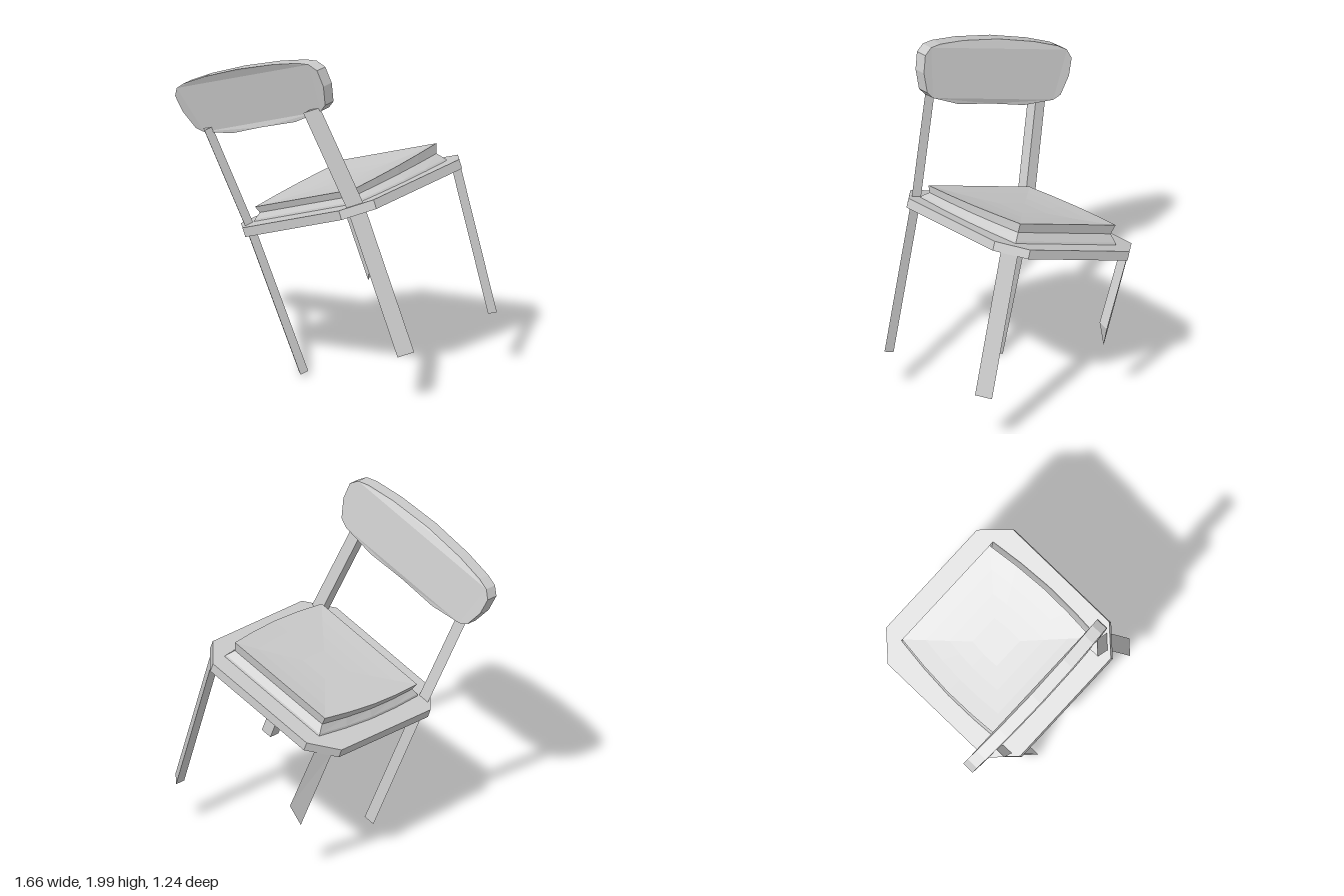
import * as THREE from 'three';

const material = new THREE.MeshStandardMaterial({ color: 0xcccccc, flatShading: true, side: THREE.DoubleSide });

// Solid through a stack of rings, bottom to top, each counterclockwise seen from above
function loft(rings) {
  const pos = [];
  const tri = (a, b, c) => pos.push(...a, ...b, ...c);
  const n = rings[0].length;
  for (let r = 0; r + 1 < rings.length; r++) {
    for (let i = 0; i < n; i++) {
      const j = (i + 1) % n, lo = rings[r], hi = rings[r + 1];
      tri(lo[i], lo[j], hi[j]);
      tri(lo[i], hi[j], hi[i]);
    }
  }
  const first = rings[0], last = rings[rings.length - 1];
  for (let i = 1; i + 1 < n; i++) tri(first[0], first[i + 1], first[i]);
  const mid = [0, 1, 2].map(k => last.reduce((s, p) => s + p[k], 0) / n);
  for (let i = 0; i < n; i++) tri(last[i], last[(i + 1) % n], mid);
  const geo = new THREE.BufferGeometry();
  geo.setAttribute('position', new THREE.Float32BufferAttribute(pos, 3));
  geo.computeVertexNormals();
  return geo;
}

function part(name, geo) {
  const mesh = new THREE.Mesh(geo, material);
  mesh.name = name;
  return mesh;
}

// Triangular leg section: wide face outward on the seat's cut corner.
// drop gives extra y for the inner, z-side and x-side corners.
function legRing([x, y, z], sx, sz, drop = [0, 0, 0]) {
  const h = 0.035;
  const ring = [
    [sx * (x - h), y + drop[0], sz * (z - h)],
    [sx * (x - h), y + drop[1], sz * (z + h)],
    [sx * (x + h), y + drop[2], sz * (z - h)],
  ];
  return sx * sz < 0 ? ring.reverse() : ring;
}

// Square seat board with cut corners
function seatGeometry() {
  const a = 0.523, b = 0.535, ca = 0.38, cb = 0.385;
  const outline = [[a, cb], [a, -cb], [ca, -b], [-ca, -b], [-a, -cb], [-a, cb], [-ca, b], [ca, b]];
  return loft([-0.055, 0].map(y => outline.map(([x, z]) => [x, y, z])));
}

// Pad with a pinched side, higher at one end and dished on top
function cushionGeometry() {
  const corners = [[0.395, 0.385], [0.375, -0.4], [-0.355, -0.4], [-0.38, 0.385]];
  const outline = [], steps = 4;
  corners.forEach(([x, z], k) => {
    const [x2, z2] = corners[(k + 1) % 4];
    for (let i = 0; i < steps; i++) {
      const t = i / steps;
      const bow = k % 2 ? 0 : 0.025 * Math.sin(Math.PI * t) * Math.sign(x);
      outline.push([x + (x2 - x) * t + bow, z + (z2 - z) * t]);
    }
  });
  const edge = z => 0.095 - 0.042 * z;
  const ring = (s, height) => outline.map(([x, z]) => [x * s, height(z * s), z * s]);
  return loft([
    ring(1.06, () => -0.01),
    ring(1.04, () => 0.012),
    ring(0.97, z => edge(z) * 0.5),
    ring(1, edge),
    ...[0.75, 0.5, 0.25].map(s => ring(s, z => edge(z) - 0.022 * (1 - s * s))),
  ]);
}

// Rounded, slightly curved and reclined panel
function backrestGeometry() {
  const half = [[0.27, 0.905], [0.45, 0.885], [0.52, 0.865], [0.56, 0.82], [0.555, 0.72],
    [0.51, 0.61], [0.46, 0.58], [0.25, 0.545]];
  const points = [[0, 0.915], ...half, [0, 0.55], ...half.map(([x, y]) => [-x, y]).reverse()];
  const shape = new THREE.Shape(points.map(([x, y]) => new THREE.Vector2(x, y)));
  const geo = new THREE.ExtrudeGeometry(shape, { depth: 0.075, bevelEnabled: false });
  const p = geo.attributes.position;
  for (let i = 0; i < p.count; i++) {
    const x = p.getX(i), y = p.getY(i);
    p.setZ(i, p.getZ(i) + 0.51 + 0.17 * (y - 0.9) - 0.06 * x * x);
  }
  geo.computeVertexNormals();
  return geo;
}

export function createModel() {
  const chair = new THREE.Group();
  chair.name = 'chair';
  chair.add(part('seat', seatGeometry()), part('cushion', cushionGeometry()), part('backrest', backrestGeometry()));

  // Posts run from the floor end through the seat up to the backrest
  for (const [side, sx] of [['left', 1], ['right', -1]]) {
    const path = [[0.418, -0.91, 0.4], [0.435, -0.02, 0.45], [0.425, 0.6, 0.55]];
    chair.add(part(side + 'BackPost', loft(path.map(c => legRing(c, sx, 1)))));
  }

  // One whole short leg and one snapped off to a splinter
  const top = [0.455, -0.03, 0.45];
  chair.add(part('wholeLeg', loft([legRing([0.39, -0.91, 0.445], 1, -1), legRing(top, 1, -1)])));
  chair.add(part('brokenLeg', loft([
    legRing([0.43, -0.465, 0.447], -1, -1, [0, -0.02, -0.135]),
    legRing(top, -1, -1),
  ])));

  // The whole chair lies tipped to one side and turned
  chair.rotation.set(0, -0.18, 0.345, 'ZYX');
  chair.position.set(0.061, 1.044, -0.034);
  const model = new THREE.Group();
  model.name = 'tippedChair';
  model.add(chair);
  return model;
}
